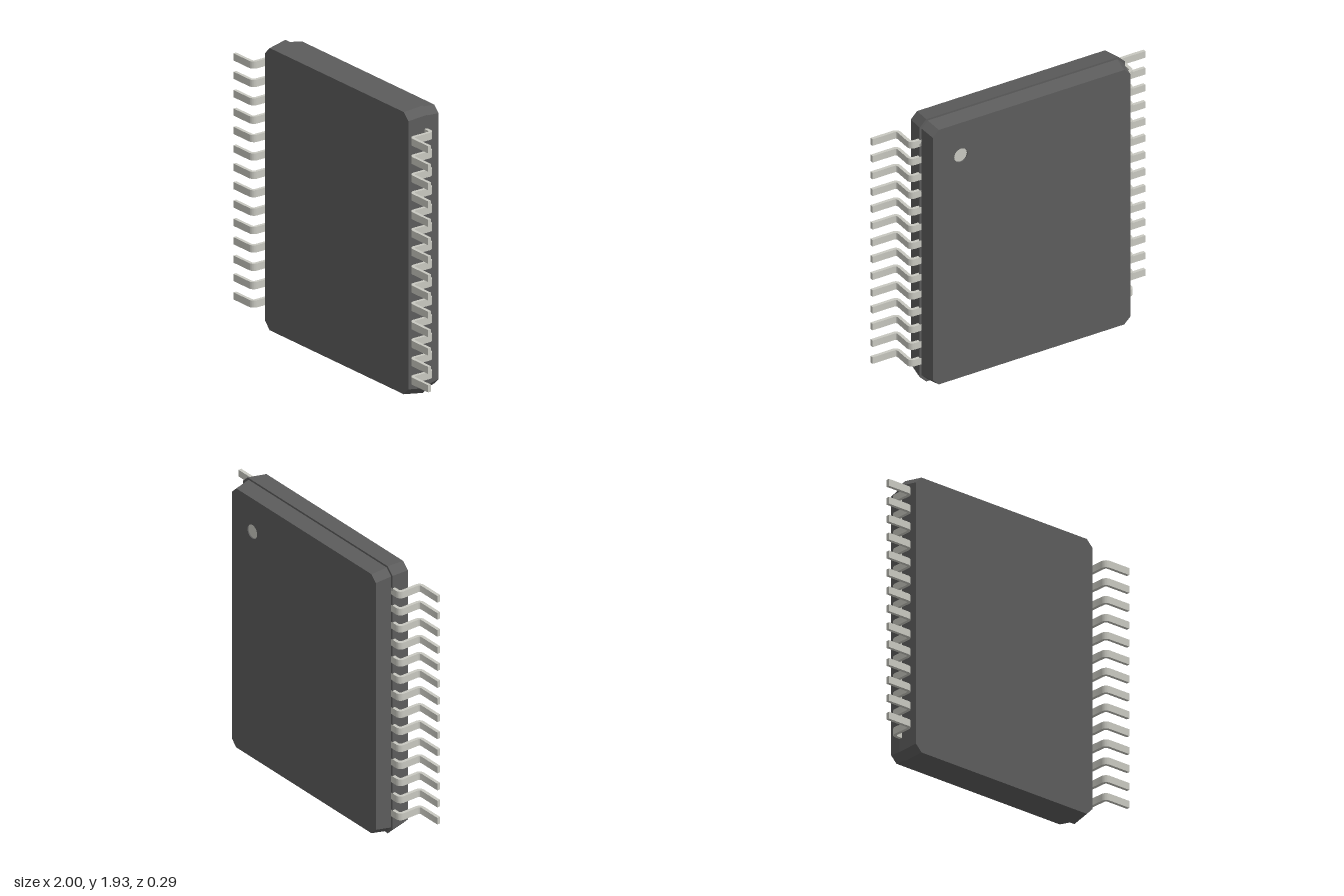
import * as THREE from 'three';
import { toCreasedNormals } from 'three/addons/utils/BufferGeometryUtils.js';

const HEIGHT = 1.933, MID_Z = -0.037, FRONT_Z = 0.1, BACK_Z = -0.147;

// Rectangle with cut corners, centred on the origin
function cutRectangle(hw, hh, c) {
  return new THREE.Shape([
    [hw, -hh + c], [hw, hh - c], [hw - c, hh], [-hw + c, hh],
    [-hw, hh - c], [-hw, -hh + c], [-hw + c, -hh], [hw - c, -hh],
  ].map(([x, y]) => new THREE.Vector2(x, y)));
}

// Slab running from the parting plane to endZ, narrowing by `inset` on every side
function taperedHalf(shape, hw, hh, endZ, inset) {
  const z0 = Math.min(MID_Z, endZ);
  const geo = new THREE.ExtrudeGeometry(shape, {
    depth: Math.abs(endZ - MID_Z), bevelEnabled: false, curveSegments: 12,
  });
  geo.translate(0, 0, z0);
  const p = geo.attributes.position;
  for (let i = 0; i < p.count; i++) {
    const t = (p.getZ(i) - MID_Z) / (endZ - MID_Z);
    p.setX(i, p.getX(i) * (1 - (inset / hw) * t));
    p.setY(i, p.getY(i) * (1 - (inset / hh) * t));
  }
  geo.computeVertexNormals();
  return geo;
}

// Gull-wing lead: bent strip profile in x/z, extruded along y
function leadGeometry() {
  const rIn = 0.015, rOut = 0.037, width = 0.048, PI = Math.PI;
  const s = new THREE.Shape();
  s.moveTo(0.73, -0.037);
  s.lineTo(0.787, -0.037);
  s.absarc(0.787, 0, rOut, -PI / 2, 0, false);
  s.lineTo(0.824, 0.11);
  s.absarc(0.839, 0.11, rIn, PI, PI / 2, true);
  s.lineTo(1, 0.125);
  s.lineTo(1, 0.147);
  s.lineTo(0.839, 0.147);
  s.absarc(0.839, 0.11, rOut, PI / 2, PI, false);
  s.lineTo(0.802, 0);
  s.absarc(0.787, 0, rIn, 0, -PI / 2, true);
  s.lineTo(0.73, -0.015);
  const geo = new THREE.ExtrudeGeometry(s, { depth: width, bevelEnabled: false, curveSegments: 5 });
  geo.translate(0, 0, -width / 2);
  geo.rotateX(PI / 2);
  return toCreasedNormals(geo, 0.6);
}

export function createModel() {
  const model = new THREE.Group();
  model.name = 'chipPackage';
  const plastic = new THREE.MeshStandardMaterial({ color: 0x5c5c5c });
  const metal = new THREE.MeshStandardMaterial({ color: 0xc8c8c0 });

  const add = (name, geo, mat, parent = model) => {
    const mesh = new THREE.Mesh(geo, mat);
    mesh.name = name;
    parent.add(mesh);
    return mesh;
  };

  // Two tapered halves of the body, the back one slightly smaller
  const hw = 0.753, hh = HEIGHT / 2, step = 0.013;
  const frontShape = cutRectangle(hw, hh, 0.048);
  add('bodyFrontHalf', taperedHalf(frontShape, hw, hh, FRONT_Z, 0.018), plastic).position.y = hh;

  const backShape = cutRectangle(hw - step, hh - step, 0.045);
  const markX = 0.53, markY = 0.71, markR = 0.05;
  backShape.holes.push(new THREE.Path().absarc(markX, markY, markR, 0, Math.PI * 2, true));
  add('bodyBackHalf', taperedHalf(backShape, hw - step, hh - step, BACK_Z, 0.016), plastic).position.y = hh;

  // Floor of the shallow round orientation mark
  const floor = new THREE.CircleGeometry(markR + 0.004, 24).rotateY(Math.PI);
  add('orientationMark', floor, metal).position.set(markX * 0.98, hh + markY * 0.983, BACK_Z + 0.008);

  // Fourteen leads on each side
  const lead = leadGeometry();
  const count = 14, pitch = 0.1236;
  for (const side of ['left', 'right']) {
    const row = new THREE.Group();
    row.name = side + 'Leads';
    row.position.y = hh;
    if (side === 'right') row.rotation.z = Math.PI;
    for (let i = 0; i < count; i++) {
      add('lead', lead, metal, row).position.y = (i - (count - 1) / 2) * pitch;
    }
    model.add(row);
  }
  return model;
}
